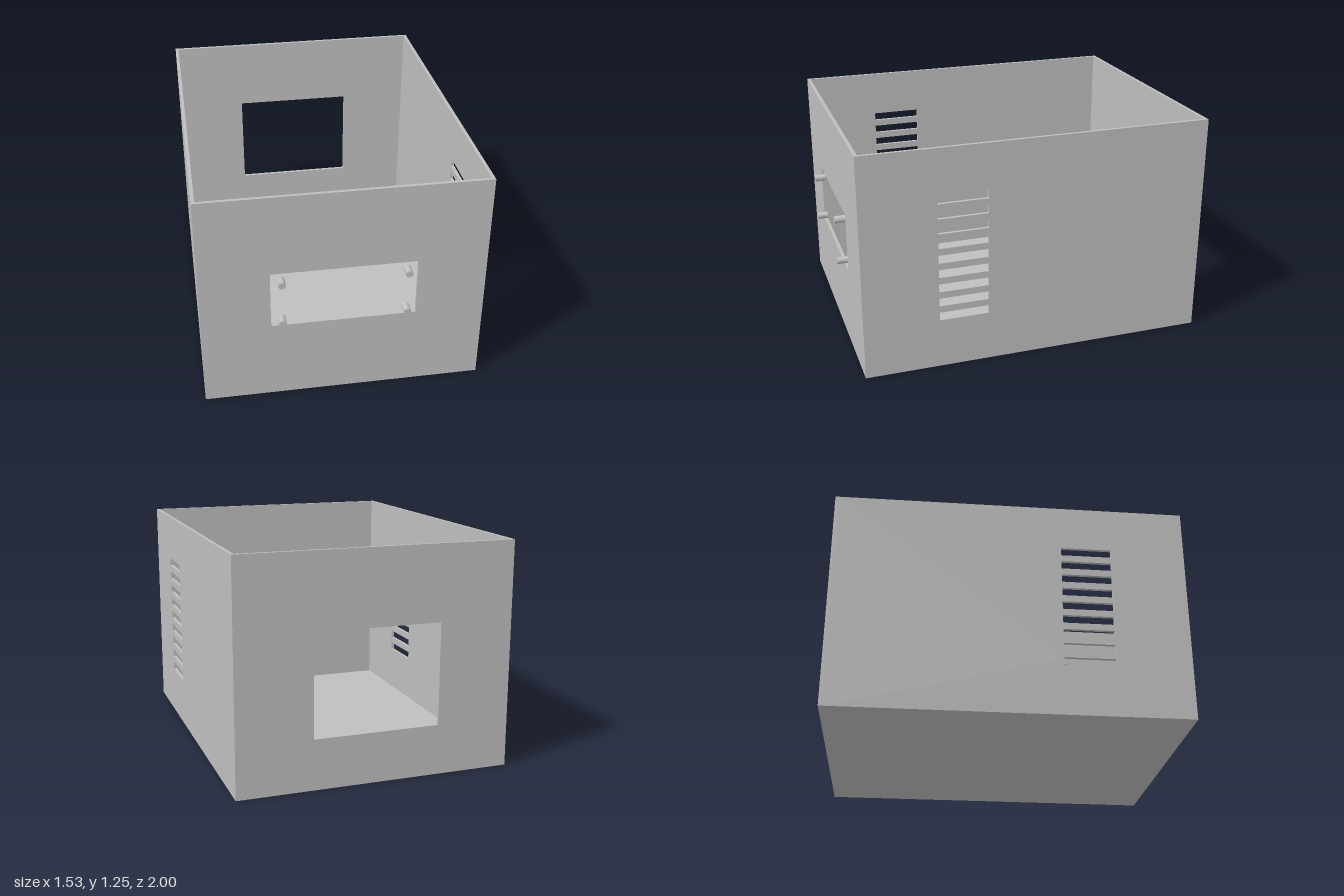
import * as THREE from 'three';

const HALF_W = 0.765, HEIGHT = 1.255, FRONT = 0.95, BACK = -1, WALL = 0.018;

// Rectangle outline with optional rounded corners
function rect(Type, x0, y0, x1, y1, r = 0) {
  const p = new Type();
  p.moveTo(x0 + r, y0);
  p.lineTo(x1 - r, y0);
  if (r) p.quadraticCurveTo(x1, y0, x1, y0 + r);
  p.lineTo(x1, y1 - r);
  if (r) p.quadraticCurveTo(x1, y1, x1 - r, y1);
  p.lineTo(x0 + r, y1);
  if (r) p.quadraticCurveTo(x0, y1, x0, y1 - r);
  p.lineTo(x0, y0 + r);
  if (r) p.quadraticCurveTo(x0, y0, x0 + r, y0);
  p.closePath();
  return p;
}

// Flat panel with cut-outs, extruded along +z by the wall thickness
function panel(x0, y0, x1, y1, holes) {
  const shape = rect(THREE.Shape, x0, y0, x1, y1);
  shape.holes.push(...holes);
  return new THREE.ExtrudeGeometry(shape, { depth: WALL, bevelEnabled: false, curveSegments: 4 });
}

export function createModel() {
  const group = new THREE.Group();
  const grey = new THREE.MeshStandardMaterial({ color: 0xbfbfbf });
  grey.name = 'plain grey';

  const add = (name, geometry) => {
    const mesh = new THREE.Mesh(geometry, grey);
    mesh.name = name;
    group.add(mesh);
    return mesh;
  };

  // Front wall with the display window
  add('frontWall', panel(-HALF_W, 0, HALF_W, HEIGHT,
    [rect(THREE.Path, -0.393, 0.463, 0.39, 0.796, 0.008)])).position.z = FRONT - WALL;

  // Back wall with the larger opening
  add('backWall', panel(-HALF_W, 0, HALF_W, HEIGHT,
    [rect(THREE.Path, -0.352, 0.278, 0.348, 0.84)])).position.z = BACK;

  // Side walls with nine vent slots; the panel's x becomes -z
  for (const side of [1, -1]) {
    const slots = [];
    for (let i = 0; i < 9; i++) {
      const y = 0.28 + i * 0.0838;
      slots.push(rect(THREE.Path, -0.535, y, -0.257, y + 0.046));
    }
    const wall = add(side > 0 ? 'leftWall' : 'rightWall',
      panel(-(FRONT - WALL), 0, -(BACK + WALL), HEIGHT, slots));
    wall.rotation.y = Math.PI / 2;
    wall.position.x = side > 0 ? HALF_W - WALL : -HALF_W;
  }

  // Floor between the walls
  const floor = add('floor', new THREE.BoxGeometry(
    2 * (HALF_W - WALL), WALL, FRONT - BACK - 2 * WALL));
  floor.position.set(0, WALL / 2, (FRONT + BACK) / 2);

  // Four mounting pins in the corners of the window
  for (const x of [-0.336, 0.333]) {
    for (const y of [0.507, 0.752]) {
      const pin = add('mountingPin', new THREE.CylinderGeometry(0.02, 0.02, 0.06, 32));
      pin.rotation.x = Math.PI / 2;
      pin.position.set(x, y, 0.97);
    }
  }
  return group;
}
